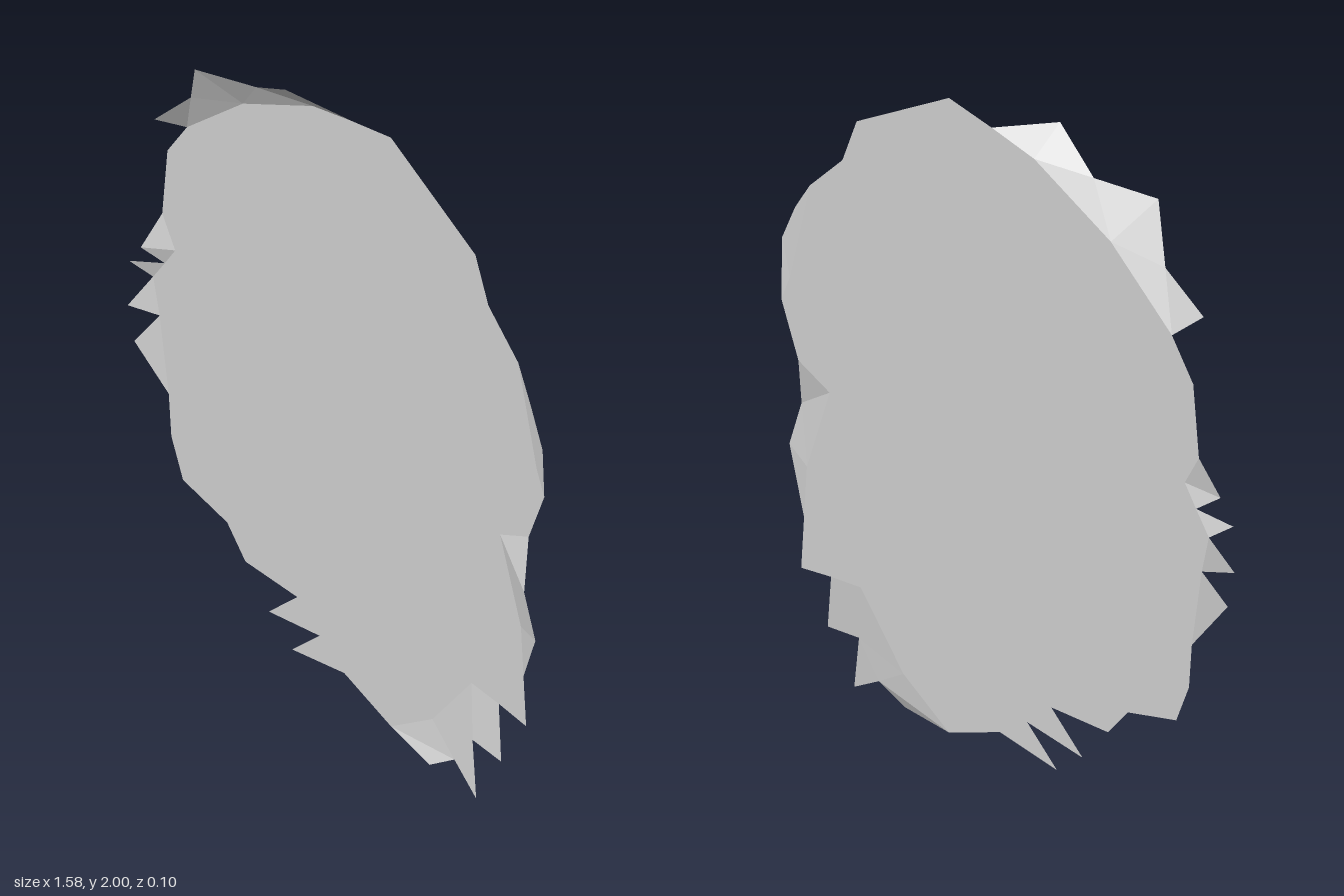
import * as THREE from 'three';

const BACK = -0.05; // depth of the flat sheet

export function createModel() {
  const model = new THREE.Group();
  const grey = new THREE.MeshStandardMaterial({ color: 0xcccccc, side: THREE.DoubleSide, flatShading: true });

  // Fills a clockwise or anticlockwise outline of [x, y, z] points with facets
  function sheet(name, points) {
    const contour = points.map(([x, y]) => new THREE.Vector2(x, y));
    const positions = [];
    for (const face of THREE.ShapeUtils.triangulateShape(contour, [])) {
      const [a, b, c] = face.map((i) => contour[i]);
      const area = (b.x - a.x) * (c.y - a.y) - (b.y - a.y) * (c.x - a.x);
      const order = area < 0 ? [face[0], face[2], face[1]] : face;
      for (const i of order) positions.push(points[i][0], points[i][1], points[i][2] ?? BACK);
    }
    const geometry = new THREE.BufferGeometry();
    geometry.setAttribute('position', new THREE.Float32BufferAttribute(positions, 3));
    geometry.computeVertexNormals();
    const mesh = new THREE.Mesh(geometry, grey);
    mesh.name = name;
    model.add(mesh);
  }

  // Flat middle of the torn sheet, clockwise from the top
  sheet('flatSheet', [
    [0.03, 1.95], [0.18, 1.98], [0.505, 1.775], [0.555, 1.635], [0.67, 1.51], [0.6, 1.5],
    [0.74, 1.2], [0.77, 1.12], [0.71, 0.955], [0.6, 0.9], [0.68, 0.64], [0.69, 0.48],
    [0.7, 0.32], [0.595, 0.335], [0.49, 0.345], [0.34, 0.14], [0.18, 0.025], [0, 0.1],
    [-0.2, 0.065], [-0.095, 0.17], [-0.29, 0.14], [-0.18, 0.25], [-0.38, 0.255],
    [-0.45, 0.345], [-0.62, 0.39], [-0.665, 0.51], [-0.675, 0.645], [-0.71, 0.885],
    [-0.735, 1.0], [-0.69, 1.07], [-0.65, 1.135], [-0.7, 1.23], [-0.68, 1.45],
    [-0.605, 1.57], [-0.39, 1.77], [-0.12, 1.915],
  ]);

  // Large curled flap at the top, split into facets between fold and rim
  const fold = [[0.03, 1.95], [-0.12, 1.915], [-0.39, 1.77], [-0.605, 1.57]];
  const rim = [[-0.14, 2, 0.03], [-0.29, 1.905, -0.005], [-0.47, 1.89, 0.048], [-0.54, 1.73, -0.003], [-0.65, 1.61, 0.025]];
  [
    [fold[0], rim[0], fold[1]], [rim[0], rim[1], fold[1]], [fold[1], rim[1], fold[2]],
    [rim[1], rim[2], fold[2]], [rim[2], rim[3], fold[2]], [fold[2], rim[3], fold[3]],
    [rim[3], rim[4], fold[3]],
  ].forEach((facet, i) => sheet('topFlapFacet' + (i + 1), facet));

  // Curled edges on the model's left
  sheet('upperLeftFlap', [[0.6, 1.5], [0.67, 1.51], [0.735, 1.41, -0.035], [0.785, 1.295, -0.03], [0.77, 1.12], [0.74, 1.2]]);
  sheet('middleLeftFlapTop', [[0.6, 0.9], [0.71, 0.955], [0.73, 0.8, -0.015]]);
  sheet('middleLeftFlap', [[0.6, 0.9], [0.73, 0.8, -0.015], [0.77, 0.66, -0.018], [0.68, 0.64]]);
  sheet('middleLeftFlapBase', [[0.68, 0.64], [0.77, 0.66, -0.018], [0.69, 0.48]]);

  // Torn corner at the bottom
  sheet('bottomFlapOuter', [[0.49, 0.345], [0.595, 0.335], [0.62, 0.165, -0.035], [0.51, 0.175, -0.035]]);
  sheet('bottomFlapMiddle', [[0.49, 0.345], [0.51, 0.175, -0.035], [0.44, 0.07, -0.035], [0.34, 0.14]]);
  sheet('bottomFlapSpike', [[0.51, 0.175, -0.035], [0.54, 0.005, -0.02], [0.44, 0.07, -0.035]]);
  sheet('bottomFlapInner', [[0.34, 0.14], [0.44, 0.07, -0.035], [0.36, 0.015, -0.02], [0.18, 0.025]]);

  // Small torn spikes on the model's right
  sheet('rightSpikeTop', [[-0.7, 1.23], [-0.65, 1.135], [-0.745, 1.11, -0.015]]);
  sheet('rightSpikeTopUnderside', [[-0.65, 1.135], [-0.69, 1.07], [-0.745, 1.11, -0.015]]);
  sheet('rightSpikeUpper', [[-0.69, 1.07], [-0.735, 1.0], [-0.79, 1.04, -0.015]]);
  sheet('rightSpikeMiddle', [[-0.735, 1.0], [-0.71, 0.885], [-0.79, 0.895, -0.01]]);
  sheet('rightSpikeLower', [[-0.71, 0.885], [-0.675, 0.645], [-0.77, 0.785, -0.015]]);

  return model;
}
